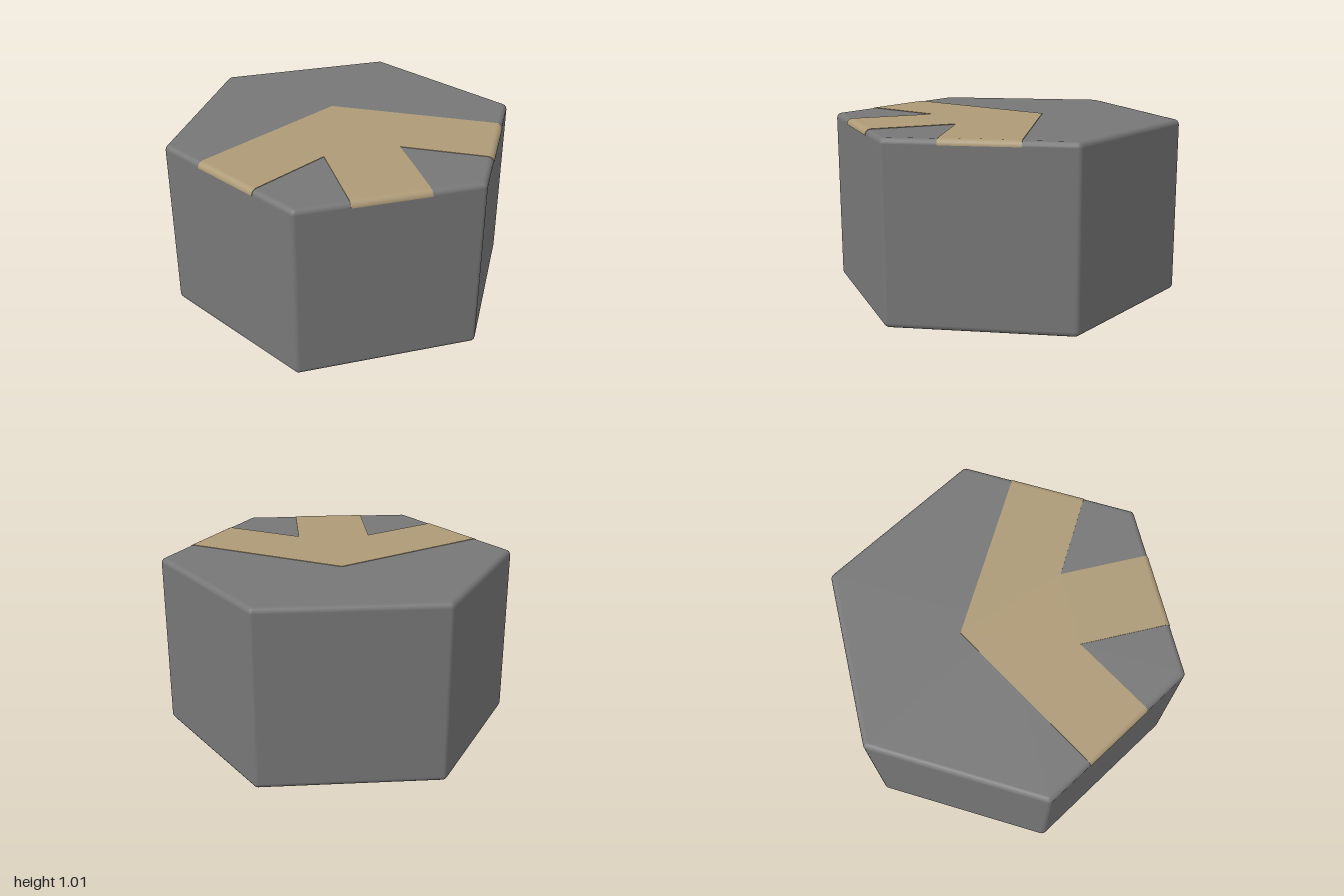
import * as THREE from 'three';

const EDGE = 0.03;            // rounding radius of all tile edges
const HEIGHT = 1.004;
const CORE = 1 - EDGE;        // corner distance of the hexagon before rounding
const CORE_APOTHEM = CORE * Math.cos(Math.PI / 6);
const HALF_WIDTH = 0.212;     // half width of a road arm
const RAISE = 0.003;          // road height above the tile
const ARMS = [0, Math.PI / 3, 2 * Math.PI / 3];

// Hexagonal prism with softly rounded edges and exact normals
function roundedHexPrism() {
  const position = [], normal = [], index = [];
  const steps = 4, arc = 4;
  const cols = 6 * (arc + 1);

  const ring = (phi, centreY) => {
    for (let k = 0; k < 6; k++) {
      const corner = Math.PI / 6 + k * Math.PI / 3;
      for (let s = 0; s <= arc; s++) {
        const a = corner + (s / arc - 0.5) * Math.PI / 3;
        const n = [Math.cos(phi) * Math.cos(a), Math.sin(phi), Math.cos(phi) * Math.sin(a)];
        position.push(CORE * Math.cos(corner) + EDGE * n[0], centreY + EDGE * n[1],
          CORE * Math.sin(corner) + EDGE * n[2]);
        normal.push(...n);
      }
    }
  };
  for (let i = 0; i <= steps; i++) ring((i / steps - 1) * Math.PI / 2, EDGE);
  for (let i = 0; i <= steps; i++) ring((i / steps) * Math.PI / 2, HEIGHT - EDGE);

  const rows = 2 * (steps + 1);
  const bottom = rows * cols, top = bottom + 1;
  position.push(0, 0, 0, 0, HEIGHT, 0);
  normal.push(0, -1, 0, 0, 1, 0);
  for (let j = 0; j < cols; j++) {
    const next = (j + 1) % cols;
    for (let i = 0; i < rows - 1; i++) {
      const p = i * cols + j, q = i * cols + next;
      index.push(p, p + cols, q, q, p + cols, q + cols);
    }
    index.push(bottom, j, next);
    index.push(top, (rows - 1) * cols + next, (rows - 1) * cols + j);
  }

  const geometry = new THREE.BufferGeometry();
  geometry.setAttribute('position', new THREE.Float32BufferAttribute(position, 3));
  geometry.setAttribute('normal', new THREE.Float32BufferAttribute(normal, 3));
  geometry.setIndex(index);
  return geometry;
}

// Flat three-armed road slab
function roadSlab() {
  const points = [];
  const polar = (angle, r) => points.push(new THREE.Vector2(Math.cos(angle) * r, -Math.sin(angle) * r));
  const endRadius = Math.hypot(CORE_APOTHEM, HALF_WIDTH);
  const endAngle = Math.atan2(HALF_WIDTH, CORE_APOTHEM);
  ARMS.forEach((a, i) => {
    polar(a - endAngle, endRadius);
    polar(a + endAngle, endRadius);
    if (i < 2) polar(a + Math.PI / 6, HALF_WIDTH * 2);      // inner notch
  });
  polar(Math.PI * 4 / 3, HALF_WIDTH / Math.sin(Math.PI / 3)); // outer bend
  const geometry = new THREE.ExtrudeGeometry(new THREE.Shape(points), {
    depth: EDGE + RAISE, bevelEnabled: false,
  });
  return geometry.rotateX(-Math.PI / 2).translate(0, HEIGHT - EDGE, 0);
}

export function createModel() {
  const model = new THREE.Group();
  model.name = 'hexRoadTile';
  const stone = new THREE.MeshStandardMaterial({ color: 0x777777 });
  const sand = new THREE.MeshStandardMaterial({ color: 0xad9a77 });

  const add = (name, geometry, material) => {
    const mesh = new THREE.Mesh(geometry, material);
    mesh.name = name;
    model.add(mesh);
    return mesh;
  };

  add('tileBody', roundedHexPrism(), stone);
  add('road', roadSlab(), sand);

  // Quarter-round lips where the road rolls over the tile edge
  const lip = new THREE.CylinderGeometry(EDGE + RAISE, EDGE + RAISE, HALF_WIDTH * 2, 6, 1, false,
    Math.PI / 2, Math.PI / 2);
  lip.rotateX(Math.PI / 2).translate(CORE_APOTHEM, HEIGHT - EDGE, 0);
  ARMS.forEach((a, i) => {
    add(`roadEnd${i + 1}`, lip, sand).rotation.y = -a;
  });
  return model;
}
